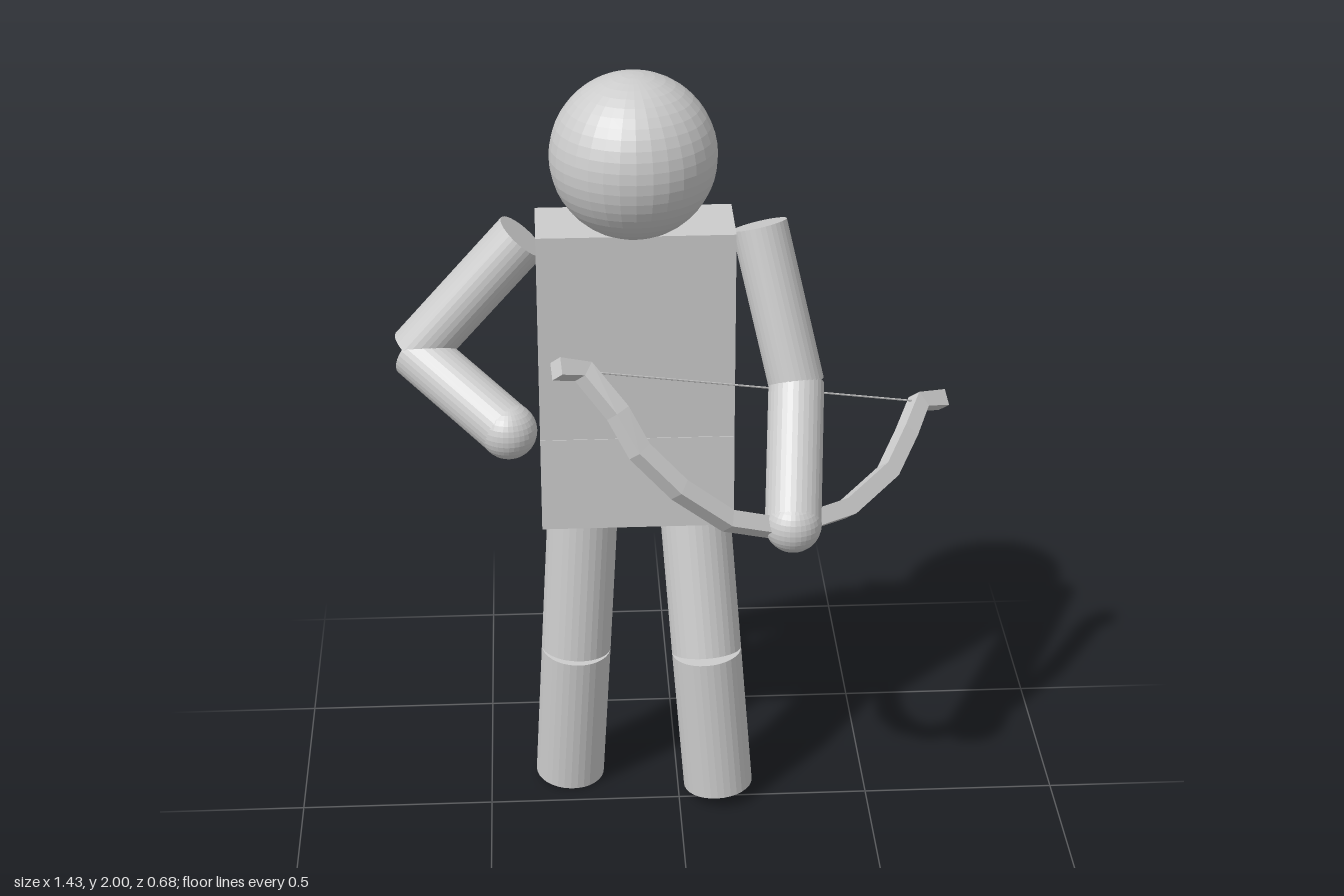
import * as THREE from 'three';

const material = new THREE.MeshStandardMaterial({ color: 0xcccccc, flatShading: true });
const vec = (p) => new THREE.Vector3(...p);

function add(parent, name, geometry, position = [0, 0, 0]) {
  const mesh = new THREE.Mesh(geometry, material);
  mesh.name = name;
  mesh.position.set(...position);
  parent.add(mesh);
  return mesh;
}

// Capped cylinder running between two points
function limb(parent, name, from, to, radius, sides = 32) {
  const a = vec(from), b = vec(to);
  const dir = b.clone().sub(a);
  const mesh = add(parent, name, new THREE.CylinderGeometry(radius, radius, dir.length(), sides));
  mesh.position.copy(a).add(b).multiplyScalar(0.5);
  mesh.quaternion.setFromUnitVectors(new THREE.Vector3(0, 1, 0), dir.normalize());
}

// Box between two heights, leaning from z0 (bottom) to z1 (top)
function torsoBlock(parent, name, y0, y1, z0, z1, depth) {
  const box = new THREE.BoxGeometry(0.49, Math.hypot(y1 - y0, z1 - z0), depth);
  const mesh = add(parent, name, box, [-0.103, (y0 + y1) / 2, (z0 + z1) / 2]);
  mesh.rotation.x = Math.atan2(z1 - z0, y1 - y0);
}

// Square bar swept along points, its sides kept parallel to the plane normal
function sweptBar(points, normal, half) {
  const rings = points.map((p, i) => {
    const before = points[Math.max(i - 1, 0)];
    const after = points[Math.min(i + 1, points.length - 1)];
    const tangent = after.clone().sub(before).normalize();
    const side = tangent.clone().cross(normal).normalize();
    return [[1, -1], [1, 1], [-1, 1], [-1, -1]].map(([n, s]) =>
      p.clone().addScaledVector(normal, n * half).addScaledVector(side, s * half));
  });
  const out = [];
  const quad = (a, b, c, d) => [a, b, c, a, c, d].forEach((v) => out.push(v.x, v.y, v.z));
  for (let i = 0; i < rings.length - 1; i++) {
    for (let k = 0; k < 4; k++) {
      const n = (k + 1) % 4;
      quad(rings[i][k], rings[i][n], rings[i + 1][n], rings[i + 1][k]);
    }
  }
  quad(...[...rings[0]].reverse());
  quad(...rings[rings.length - 1]);
  const geometry = new THREE.BufferGeometry();
  geometry.setAttribute('position', new THREE.Float32BufferAttribute(out, 3));
  geometry.computeVertexNormals();
  return geometry;
}

export function createModel() {
  const model = new THREE.Group();
  model.name = 'archerFigure';

  // Head and two-part torso
  add(model, 'head', new THREE.SphereGeometry(0.206, 32, 24), [-0.105, 1.794, -0.1]);
  torsoBlock(model, 'chest', 1.04, 1.617, -0.123, -0.11, 0.19);
  torsoBlock(model, 'hips', 0.81, 1.06, -0.123, -0.128, 0.205);

  // Arms: shoulder, elbow, hand
  const arms = {
    rightArm: [[-0.38, 1.575, -0.128], [-0.652, 1.268, -0.132], [-0.425, 1.145, 0.08]],
    leftArm: [[0.207, 1.59, -0.138], [0.296, 1.205, -0.028], [0.27, 0.943, 0.228]],
  };
  for (const [name, [shoulder, elbow, hand]] of Object.entries(arms)) {
    const arm = new THREE.Group();
    arm.name = name;
    limb(arm, 'upperArm', shoulder, elbow, 0.07);
    limb(arm, 'forearm', elbow, hand, 0.07);
    add(arm, 'hand', new THREE.SphereGeometry(0.071, 32, 16), hand);
    model.add(arm);
  }

  // Legs: hip, knee, ankle
  const legs = {
    rightLeg: [[-0.241, 0.83, -0.135], [-0.266, 0.413, -0.11], [-0.288, 0.01, -0.143]],
    leftLeg: [[0.046, 0.83, -0.14], [0.074, 0.435, -0.036], [0.105, 0.034, -0.022]],
  };
  for (const [name, [hip, knee, ankle]] of Object.entries(legs)) {
    const leg = new THREE.Group();
    leg.name = name;
    limb(leg, 'thigh', hip, knee, 0.091);
    limb(leg, 'shin', knee, ankle, 0.091);
    model.add(leg);
  }

  // Recurved bow held in the left hand
  const bow = new THREE.Group();
  bow.name = 'bow';
  const path = [
    [-0.305, 1.39, 0.25], [-0.24, 1.365, 0.215], [-0.16, 1.275, 0.262], [-0.11, 1.19, 0.3],
    [-0.015, 1.09, 0.312], [0.105, 0.99, 0.29], [0.25, 0.925, 0.22], [0.42, 0.905, 0.08],
    [0.54, 0.932, -0.065], [0.6, 0.985, -0.18], [0.64, 1.033, -0.262], [0.707, 1.013, -0.31],
  ].map(vec);
  const normal = new THREE.Vector3(-0.202, -0.228, -0.216).normalize();
  add(bow, 'bowStave', sweptBar(path, normal, 0.022));
  limb(bow, 'bowString', path[1].toArray(), path[10].toArray(), 0.0025, 6);
  model.add(bow);

  return model;
}
